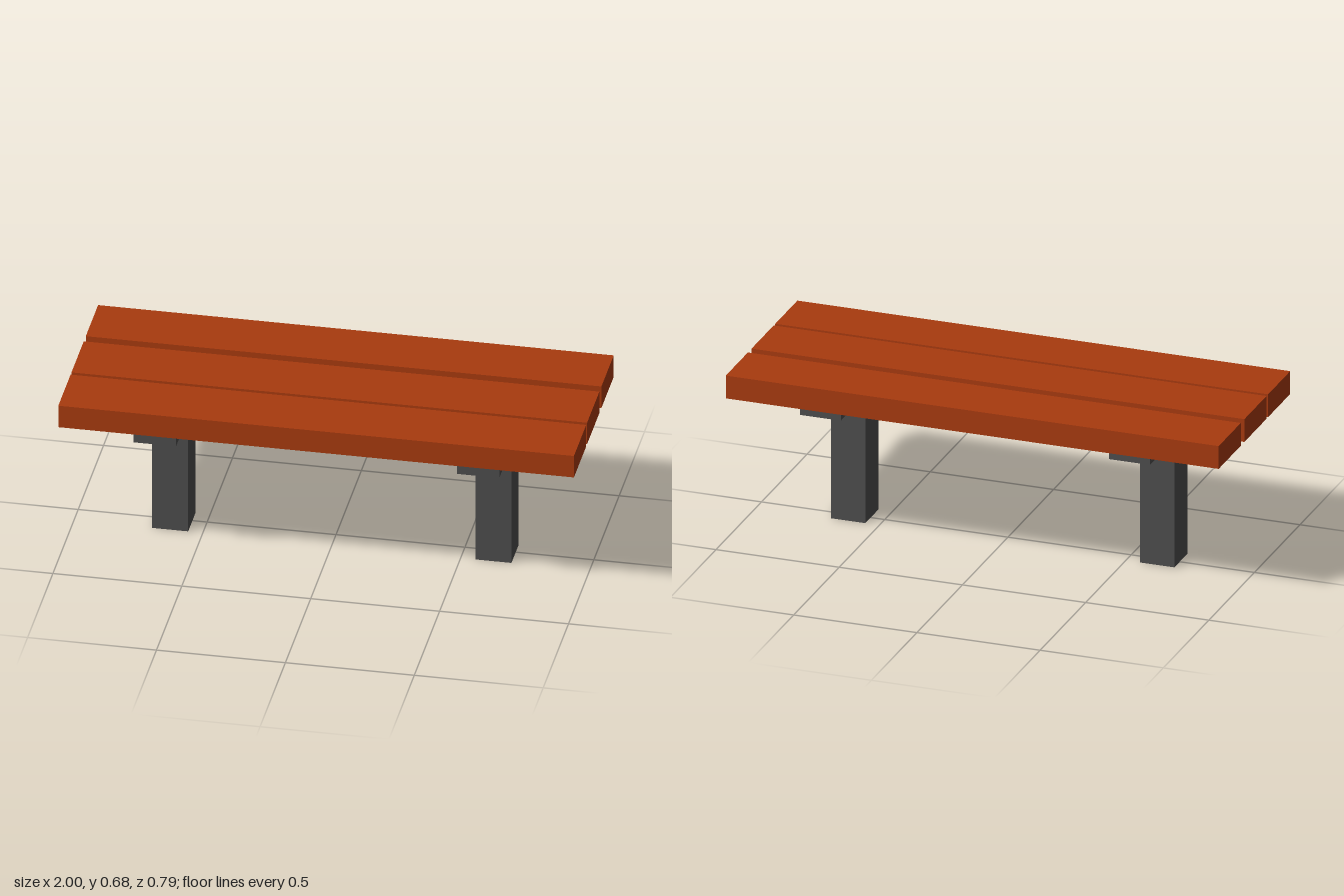
import * as THREE from 'three';

export function createModel() {
  const model = new THREE.Group();
  model.name = 'bench';
  const wood = new THREE.MeshStandardMaterial({ color: 0xa83a0e });
  const metal = new THREE.MeshStandardMaterial({ color: 0x4d4d4d });

  // Box given by its size, centre and bottom height
  function addBox(name, material, [w, h, d], x, bottom, z) {
    const mesh = new THREE.Mesh(new THREE.BoxGeometry(w, h, d), material);
    mesh.name = name;
    mesh.position.set(x, bottom + h / 2, z);
    model.add(mesh);
  }

  // Three seat planks, with a wider gap behind the middle one
  const planks = { frontPlank: 0.272, middlePlank: 0.012, backPlank: -0.271 };
  for (const [name, z] of Object.entries(planks)) {
    addBox(name, wood, [2, 0.094, 0.243], 0, 0.582, z);
  }

  // Two posts, each with a crossbar let into the planks
  for (const [side, sign] of [['left', 1], ['right', -1]]) {
    addBox(side + 'Leg', metal, [0.14, 0.544, 0.143], sign * 0.627, 0, 0.0125);
    addBox(side + 'Crossbar', metal, [0.165, 0.067, 0.749], sign * 0.627, 0.544, 0.0125);
  }
  return model;
}
